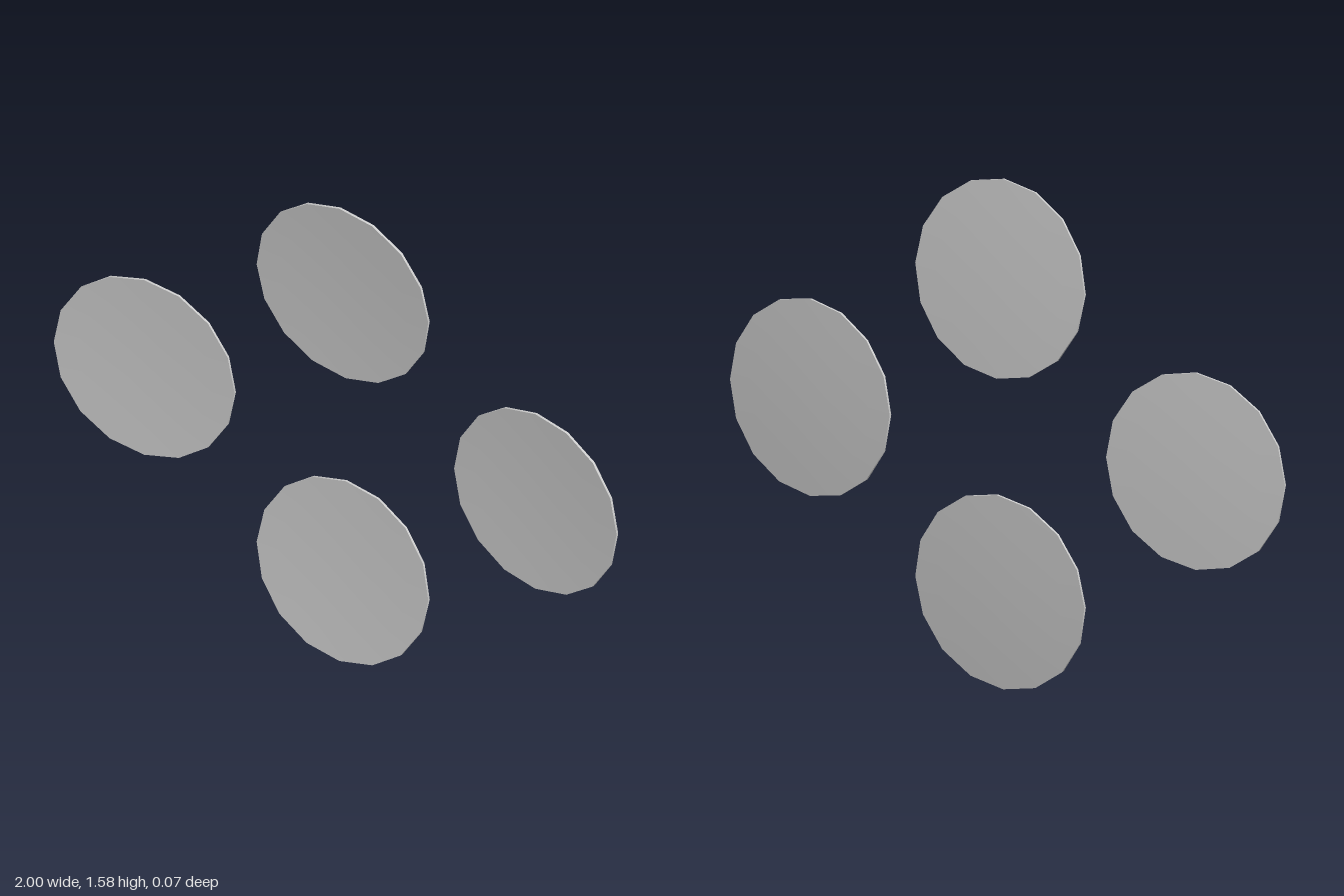
import * as THREE from 'three';
import { toCreasedNormals } from 'three/addons/utils/BufferGeometryUtils.js';

const RADIUS = 0.305, HALF = 0.004, SIDES = 16, RINGS = 4;
const CENTER_Y = 0.79;

// Shallow dish shared by all four discs
const dish = (x, y) => -0.0305 + 0.059 * (x * x + y * y);

function discGeometry(cx, cy) {
  // Flat disc profile: back face outward, then front face inward
  const profile = [];
  for (let i = 0; i <= RINGS; i++) profile.push(new THREE.Vector2(RADIUS * i / RINGS, -HALF));
  for (let i = RINGS; i >= 0; i--) profile.push(new THREE.Vector2(RADIUS * i / RINGS, HALF));
  const geo = new THREE.LatheGeometry(profile, SIDES);
  geo.rotateX(Math.PI / 2);
  geo.translate(cx, cy, 0);

  // Bend onto the dish, tilting the rim with the slope
  const p = geo.attributes.position;
  for (let i = 0; i < p.count; i++) {
    const x = p.getX(i), y = p.getY(i), z = p.getZ(i);
    p.setXYZ(i, x * (1 - 0.118 * z), y * (1 - 0.118 * z), z + dish(x, y));
  }
  return toCreasedNormals(geo, 0.6);
}

export function createModel() {
  const group = new THREE.Group();
  group.name = 'curvedDiscs';
  const material = new THREE.MeshStandardMaterial({ color: 0xcccccc });

  // Discs arranged as a cross about the dish centre
  const discs = [
    ['topDisc', 0, 0.485],
    ['bottomDisc', 0, -0.485],
    ['leftDisc', 0.695, 0],
    ['rightDisc', -0.695, 0],
  ];
  for (const [name, x, y] of discs) {
    const mesh = new THREE.Mesh(discGeometry(x, y), material);
    mesh.name = name;
    mesh.position.y = CENTER_Y;
    group.add(mesh);
  }
  return group;
}
